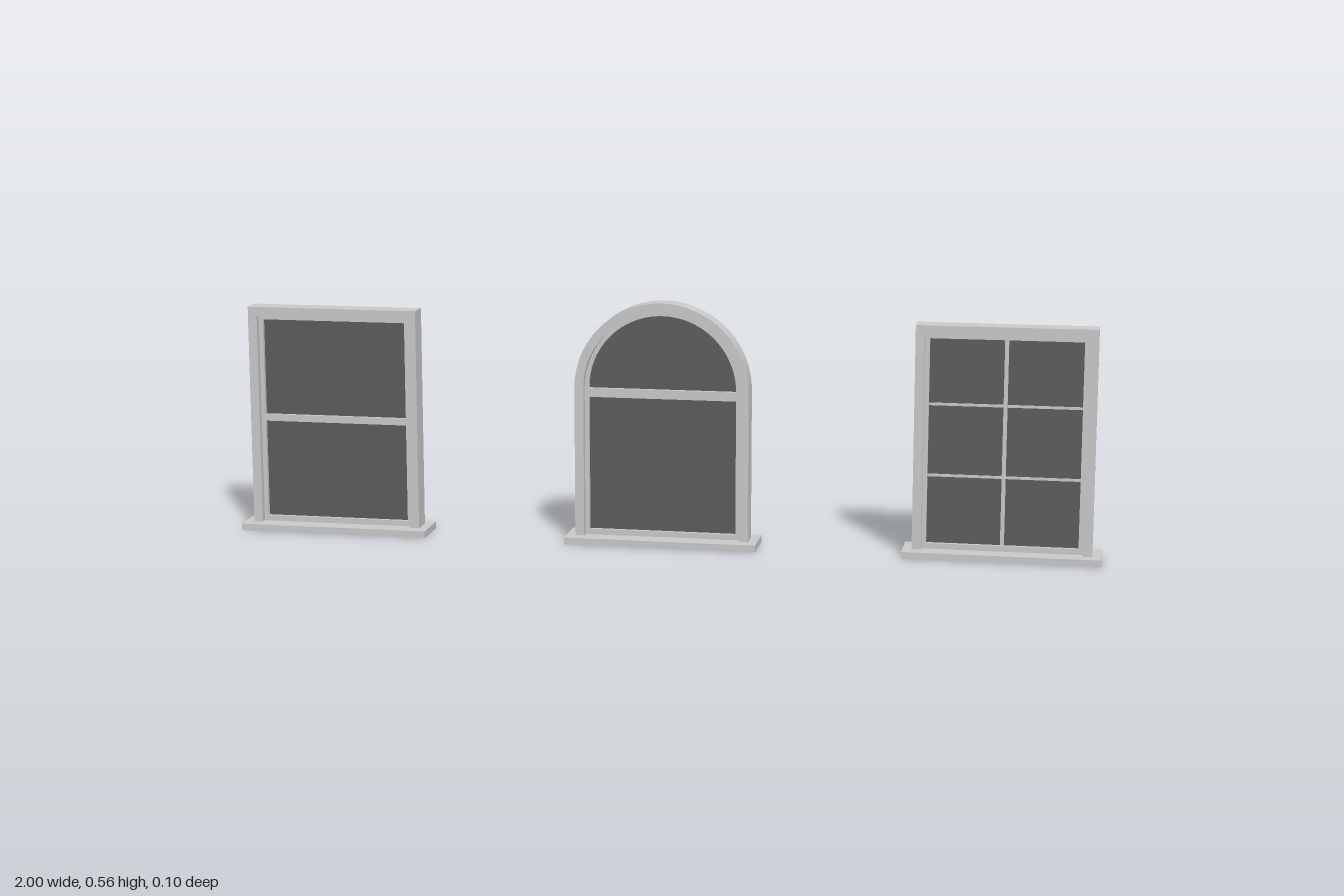
import * as THREE from 'three';
import { toCreasedNormals } from 'three/addons/utils/BufferGeometryUtils.js';

const grey = new THREE.MeshStandardMaterial({ color: 0xcccccc });
const dark = new THREE.MeshStandardMaterial({ color: 0x5d5d5d });

const BASE = 0.016, HALF = 0.2015, FRAME = 0.021, SASH = 0.031, ZC = -0.0025;

function add(group, name, geometry, material = grey) {
  const mesh = new THREE.Mesh(geometry, material);
  mesh.name = name;
  group.add(mesh);
  return mesh;
}

function bar(group, name, w, h, d, x, y, z = ZC) {
  add(group, name, new THREE.BoxGeometry(w, h, d)).position.set(x, y, z);
}

// Window outline inset on the sides and top; arched ones end in a half circle
function outline(Type, inset, bottom, top, arched) {
  const r = HALF - inset, p = new Type();
  p.moveTo(-r, bottom);
  p.lineTo(r, bottom);
  if (arched) {
    p.lineTo(r, top - HALF);
    p.absarc(0, top - HALF, r, 0, Math.PI, false);
  } else {
    p.lineTo(r, top - inset);
    p.lineTo(-r, top - inset);
  }
  p.closePath();
  return p;
}

function extrude(shape, depth) {
  const g = new THREE.ExtrudeGeometry(shape, { depth, bevelEnabled: false, curveSegments: 32 });
  g.translate(0, 0, ZC - depth / 2);
  return toCreasedNormals(g, 0.6);
}

function makeWindow(name, x, top, arched) {
  const g = new THREE.Group();
  g.name = name;
  g.position.x = x;
  bar(g, 'sill', 0.445, BASE, 0.103, 0, BASE / 2, 0);

  // Outer frame: jambs and head in one piece, open at the sill
  const r = HALF, q = HALF - FRAME, s = new THREE.Shape();
  s.moveTo(q, BASE);
  s.lineTo(r, BASE);
  if (arched) {
    s.absarc(0, top - HALF, r, 0, Math.PI, false);
    s.lineTo(-r, BASE);
    s.lineTo(-q, BASE);
    s.absarc(0, top - HALF, q, Math.PI, 0, true);
  } else {
    for (const [px, py] of [[r, top], [-r, top], [-r, BASE], [-q, BASE], [-q, top - FRAME], [q, top - FRAME]]) s.lineTo(px, py);
  }
  s.closePath();
  add(g, 'frame', extrude(s, 0.051));

  // Recessed sash ring and the pane inside it
  const sash = outline(THREE.Shape, FRAME, BASE, top, arched);
  sash.holes.push(outline(THREE.Path, SASH, BASE + 0.013, top, arched));
  add(g, 'sash', extrude(sash, 0.022));
  add(g, 'glass', extrude(outline(THREE.Shape, SASH, BASE + 0.013, top, arched), 0.004), dark);
  return g;
}

export function createModel() {
  const model = new THREE.Group();
  model.name = 'windows';
  const clear = 2 * (HALF - SASH);

  // Double-sash window
  const sashWindow = makeWindow('sashWindow', -0.777, 0.529, false);
  bar(sashWindow, 'meetingRail', clear, 0.016, 0.022, 0, 0.265);

  // Round-headed window
  const archedWindow = makeWindow('archedWindow', 0, 0.562, true);
  bar(archedWindow, 'transom', clear, 0.021, 0.022, 0, 0.35);

  // Six-pane window
  const gridWindow = makeWindow('gridWindow', 0.777, 0.529, false);
  bar(gridWindow, 'verticalMuntin', 0.009, 0.469, 0.01, 0, 0.2635);
  for (const y of [0.185, 0.348]) bar(gridWindow, 'horizontalMuntin', clear, 0.006, 0.009, 0, y);

  model.add(sashWindow, archedWindow, gridWindow);
  return model;
}
